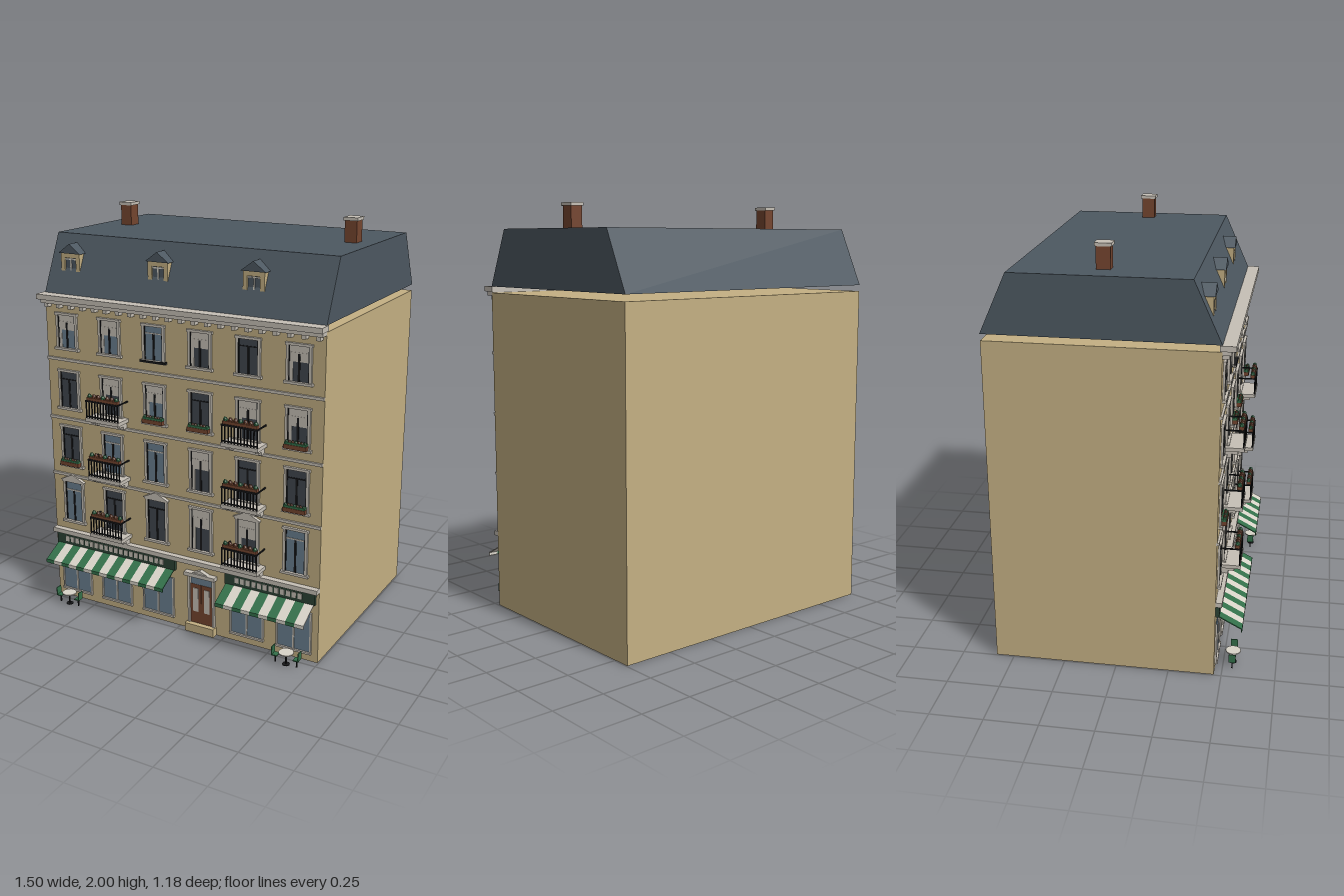
import * as THREE from 'three';

const paint = (name, color) => {
  const m = new THREE.MeshStandardMaterial({ color });
  m.name = name;
  return m;
};

export function createModel() {
  const M = {
    wall: paint('sandstone', 0xc4b083),
    stone: paint('pale stone', 0xc6c0b6),
    slate: paint('slate', 0x4d5861),
    glass: paint('blue glass', 0x6a7f8f),
    dark: paint('dark glass', 0x41474f),
    iron: paint('black iron', 0x17181a),
    brick: paint('brick and wood', 0x74452f),
    green: paint('green', 0x33704a),
    cream: paint('cream', 0xd9d4c9),
    sign: paint('dark green', 0x2b4335),
  };
  const F = 0.465; // front wall plane
  const root = new THREE.Group();
  const group = (name, x = 0, y = 0, z = 0, parent = root) => {
    const g = new THREE.Group();
    g.name = name;
    g.position.set(x, y, z);
    parent.add(g);
    return g;
  };
  const add = (parent, name, geo, mat, x = 0, y = 0, z = 0) => {
    const m = new THREE.Mesh(geo, mat);
    m.name = name;
    m.position.set(x, y, z);
    parent.add(m);
    return m;
  };
  // Box given by its limits on each axis
  const box = (p, name, mat, x0, x1, y0, y1, z0, z1) =>
    add(p, name, new THREE.BoxGeometry(x1 - x0, y1 - y0, z1 - z0), mat, (x0 + x1) / 2, (y0 + y1) / 2, (z0 + z1) / 2);
  // Polygon in the front plane, extruded along z
  const prism = (p, name, mat, pts, depth, x, y, z) => {
    const s = new THREE.Shape(pts.map(([a, b]) => new THREE.Vector2(a, b)));
    return add(p, name, new THREE.ExtrudeGeometry(s, { depth, bevelEnabled: false }), mat, x, y, z);
  };
  const colX = (i) => (i - 2.5) * 0.2485;

  // Main block and mansard roof
  box(root, 'walls', M.wall, -0.745, 0.745, 0, 1.58, -0.585, F);
  const roof = prism(root, 'mansardRoof', M.slate,
    [[-F, 1.61], [0.587, 1.61], [0.462, 1.885], [-0.34, 1.885]], 1.49, -0.745, 0, 0);
  roof.rotation.y = Math.PI / 2;

  // Cornice with dentils, and string courses
  const cornice = group('cornice');
  box(cornice, 'corniceShelf', M.stone, -0.755, 0.75, 1.585, 1.61, 0.455, 0.525);
  box(cornice, 'corniceBed', M.stone, -0.745, 0.745, 1.565, 1.585, F - 0.005, 0.505);
  for (let i = 0; i < 22; i++) {
    const x = -0.72 + (i * 1.44) / 21;
    box(cornice, 'dentil', M.stone, x - 0.01, x + 0.01, 1.545, 1.567, F - 0.005, 0.495);
  }
  [[0.975, 0.014], [0.675, 0.014], [1.278, 0.014]].forEach(([y, h]) =>
    box(root, 'stringCourse', M.stone, -0.745, 0.745, y, y + h, F - 0.005, 0.475));
  box(root, 'shopCornice', M.stone, -0.745, 0.745, 0.36, 0.383, F - 0.005, 0.495);

  // Chimneys
  for (const x of [-0.596, 0.633]) {
    const c = group('chimney', x, 0, -0.062);
    box(c, 'stack', M.brick, -0.03, 0.03, 1.87, 1.985, -0.032, 0.032);
    box(c, 'cap', M.stone, -0.035, 0.035, 1.985, 2, -0.038, 0.038);
  }

  // Dormers
  for (const x of [-0.622, -0.127, 0.37]) {
    const d = group('dormer', x);
    for (const s of [-1, 1]) box(d, 'cheek', M.wall, s * 0.043 - 0.011, s * 0.043 + 0.011, 1.715, 1.8, 0.34, 0.418);
    box(d, 'head', M.wall, -0.054, 0.054, 1.778, 1.802, 0.34, 0.418);
    box(d, 'pane', M.slate, -0.034, 0.034, 1.7, 1.78, 0.34, 0.411);
    box(d, 'mullion', M.cream, -0.003, 0.003, 1.715, 1.78, 0.405, 0.416);
    box(d, 'transom', M.cream, -0.033, 0.033, 1.769, 1.775, 0.405, 0.416);
    prism(d, 'gable', M.slate, [[-0.063, 1.8], [0.063, 1.8], [0, 1.846]], 0.095, 0, 0, 0.33);
  }

  // Flowers: a row of leaves and blossoms
  const flowers = (p, w, n, y, z, r) => {
    for (let i = 0; i < n; i++) {
      const f = add(p, i % 3 ? 'blossom' : 'leaves', new THREE.IcosahedronGeometry(r, 0),
        i % 3 ? M.brick : M.green, (i / (n - 1) - 0.5) * w, y, z);
      f.scale.y = 1.25;
    }
  };

  // Window: g glass, d dark, c curtain over dark, b curtain over glass
  const window_ = (col, y0, y1, kind, top) => {
    const g = group('window', colX(col));
    const h = y1 - y0, w = 0.05;
    const pane = kind === 'g' || kind === 'b' ? M.glass : M.dark;
    box(g, 'pane', pane, -w, w, y0, y1, F - 0.005, F + 0.003);
    if (kind === 'c' || kind === 'b') {
      box(g, 'blind', M.stone, -w, w, y0 + h * 0.55, y1, F, F + 0.005);
      box(g, 'curtain', M.stone, -w, -w + 0.02, y0, y0 + h * 0.55, F, F + 0.005);
    }
    box(g, 'mullion', M.iron, -0.005, 0.005, y0, y0 + h * 0.78, F, F + 0.006);
    box(g, 'transom', kind === 'd' ? M.iron : M.stone, -w, w, y0 + h * 0.78, y0 + h * 0.81, F, F + 0.006);
    for (const s of [-1, 1]) {
      box(g, 'jamb', M.stone, s * 0.056 - 0.006, s * 0.056 + 0.006, y0, y1, F - 0.005, F + 0.01);
      box(g, 'innerJamb', M.iron, s * 0.0475 - 0.0025, s * 0.0475 + 0.0025, y0, y1, F, F + 0.007);
    }
    box(g, 'lintel', M.stone, -0.066, 0.066, y1, y1 + 0.012, F - 0.005, F + 0.013);
    box(g, 'sill', M.stone, -0.07, 0.07, y0 - 0.012, y0, F - 0.005, F + 0.018);
    if (top) prism(g, 'pediment', M.stone, [[-0.072, 0], [0.072, 0], [0, 0.035]], 0.02, 0, y1 + 0.01, F - 0.003);
  };

  const floors = [
    { y0: 0.437, y1: 0.645, kinds: 'gddccg', balcony: [1, 4], boxes: [] },
    { y0: 0.742, y1: 0.937, kinds: 'dggcdd', balcony: [1, 4], boxes: [0, 5] },
    { y0: 1.042, y1: 1.223, kinds: 'dcbdcc', balcony: [1, 4], boxes: [2, 3, 5] },
    { y0: 1.347, y1: 1.508, kinds: 'bbgcdc', balcony: [], boxes: [] },
  ];

  const balcony = (x, y) => {
    const b = group('balcony', x, y, 0);
    const z = 0.55;
    box(b, 'slab', M.stone, -0.095, 0.095, -0.018, 0, F - 0.005, 0.555);
    for (const s of [-1, 1]) {
      box(b, 'bracket', M.stone, s * 0.075 - 0.008, s * 0.075 + 0.008, -0.035, -0.018, F - 0.005, 0.525);
      box(b, 'bracketFoot', M.stone, s * 0.075 - 0.008, s * 0.075 + 0.008, -0.052, -0.035, F - 0.005, 0.495);
      box(b, 'sideRail', M.iron, s * 0.09 - 0.003, s * 0.09 + 0.003, 0.082, 0.088, F, z);
    }
    box(b, 'topRail', M.iron, -0.093, 0.093, 0.081, 0.089, z - 0.004, z + 0.004);
    box(b, 'bottomRail', M.iron, -0.093, 0.093, 0.006, 0.011, z - 0.003, z + 0.003);
    for (let i = 0; i < 12; i++) {
      const px = -0.09 + (i * 0.18) / 11;
      box(b, 'baluster', M.iron, px - 0.0025, px + 0.0025, 0, 0.084, z - 0.0025, z + 0.0025);
    }
    box(b, 'planter', M.brick, -0.088, 0.088, 0.084, 0.103, 0.526, 0.55);
    flowers(b, 0.155, 7, 0.107, 0.538, 0.012);
  };

  floors.forEach(({ y0, y1, kinds, balcony: bal, boxes }, f) => {
    [...kinds].forEach((k, c) => window_(c, y0, y1, k, f === 0 && c % 2 === 0));
    bal.forEach((c) => balcony(colX(c), y0 - 0.005));
    boxes.forEach((c) => {
      const p = group('windowBox', colX(c), y0, 0);
      box(p, 'trough', M.brick, -0.055, 0.055, 0, 0.02, F, 0.5);
      box(p, 'foliage', M.green, -0.053, 0.053, 0.02, 0.03, 0.473, 0.497);
      flowers(p, 0.09, 7, 0.03, 0.487, 0.008);
    });
  });
  box(root, 'windowRail', M.iron, colX(2) - 0.07, colX(2) + 0.07, 1.337, 1.347, F, F + 0.02);

  // Shop fronts: fascia, small panes and striped awning
  const shop = (x0, x1, n, cols) => {
    const s = group('shopFront');
    box(s, 'fascia', M.sign, x0 - 0.005, x1 + 0.005, 0.3, 0.357, F - 0.005, 0.482);
    const count = Math.round((x1 - x0 - 0.1) / 0.03);
    for (let i = 0; i < count; i++) {
      const px = x0 + 0.05 + i * 0.03;
      box(s, 'fasciaPane', M.stone, px, px + 0.021, 0.317, 0.345, 0.48, 0.485);
    }
    const w = (x1 - x0) / n, run = 0.118, drop = 0.062;
    for (let i = 0; i < n; i++) {
      const mat = i % 2 ? M.cream : M.green, cx = x0 + (i + 0.5) * w;
      const a = add(s, 'awningStripe', new THREE.BoxGeometry(w, 0.005, Math.hypot(run, drop)), mat,
        cx, 0.306 - drop / 2, 0.469 + run / 2);
      a.rotation.x = Math.atan2(drop, run);
      box(s, 'valance', mat, cx - w / 2, cx + w / 2, 0.228, 0.246, 0.584, 0.589);
    }
    for (const c of cols) {
      const g = group('shopWindow', colX(c), 0, 0, s);
      box(g, 'pane', M.glass, -0.085, 0.085, 0.045, 0.25, F - 0.005, F + 0.004);
      for (const k of [-1, 0, 1]) box(g, 'post', M.stone, k * 0.087 - 0.004, k * 0.087 + 0.004, 0.045, 0.25, F, F + 0.009);
      box(g, 'sill', M.stone, -0.092, 0.092, 0.037, 0.047, F - 0.005, F + 0.013);
    }
  };
  shop(-0.725, -0.025, 15, [0, 1, 2]);
  shop(0.265, 0.725, 10, [4, 5]);

  // Entrance
  const door = group('entrance', colX(3));
  box(door, 'step', M.wall, -0.08, 0.08, 0, 0.042, F - 0.005, 0.497);
  box(door, 'fanlight', M.glass, -0.06, 0.06, 0.25, 0.3, F - 0.005, F + 0.004);
  box(door, 'lintel', M.stone, -0.085, 0.085, 0.297, 0.316, F - 0.005, 0.495);
  prism(door, 'pediment', M.stone, [[-0.045, 0], [0.045, 0], [0, 0.018]], 0.025, 0, 0.315, F - 0.003);
  for (const s of [-1, 1]) {
    const c = s * 0.031;
    box(door, 'jamb', M.stone, s * 0.068 - 0.006, s * 0.068 + 0.006, 0.042, 0.3, F - 0.005, F + 0.013);
    box(door, 'leaf', M.brick, c - 0.03, c + 0.03, 0.042, 0.25, F - 0.005, F + 0.006);
    box(door, 'leafPane', M.stone, c - 0.015, c + 0.015, 0.105, 0.23, F, F + 0.009);
  }

  // Pavement tables with two chairs each
  for (const x of [-0.622, 0.621]) {
    const t = group('tableSet', x, 0, 0.545);
    add(t, 'tableTop', new THREE.CylinderGeometry(0.036, 0.036, 0.005, 16), M.cream, 0, 0.062, 0);
    add(t, 'tablePost', new THREE.CylinderGeometry(0.004, 0.004, 0.06, 8), M.iron, 0, 0.03, 0);
    add(t, 'tableFoot', new THREE.CylinderGeometry(0.018, 0.018, 0.004, 12), M.iron, 0, 0.002, 0);
    for (const s of [-1, 1]) {
      const c = group('chair', s * 0.055, 0, 0, t);
      box(c, 'seat', M.green, -0.014, 0.014, 0.037, 0.042, -0.017, 0.017);
      box(c, 'back', M.green, s * 0.013 - 0.002, s * 0.013 + 0.002, 0.042, 0.08, -0.017, 0.017);
      box(c, 'leg', M.iron, -0.003, 0.003, 0, 0.038, -0.003, 0.003);
    }
  }
  return root;
}
